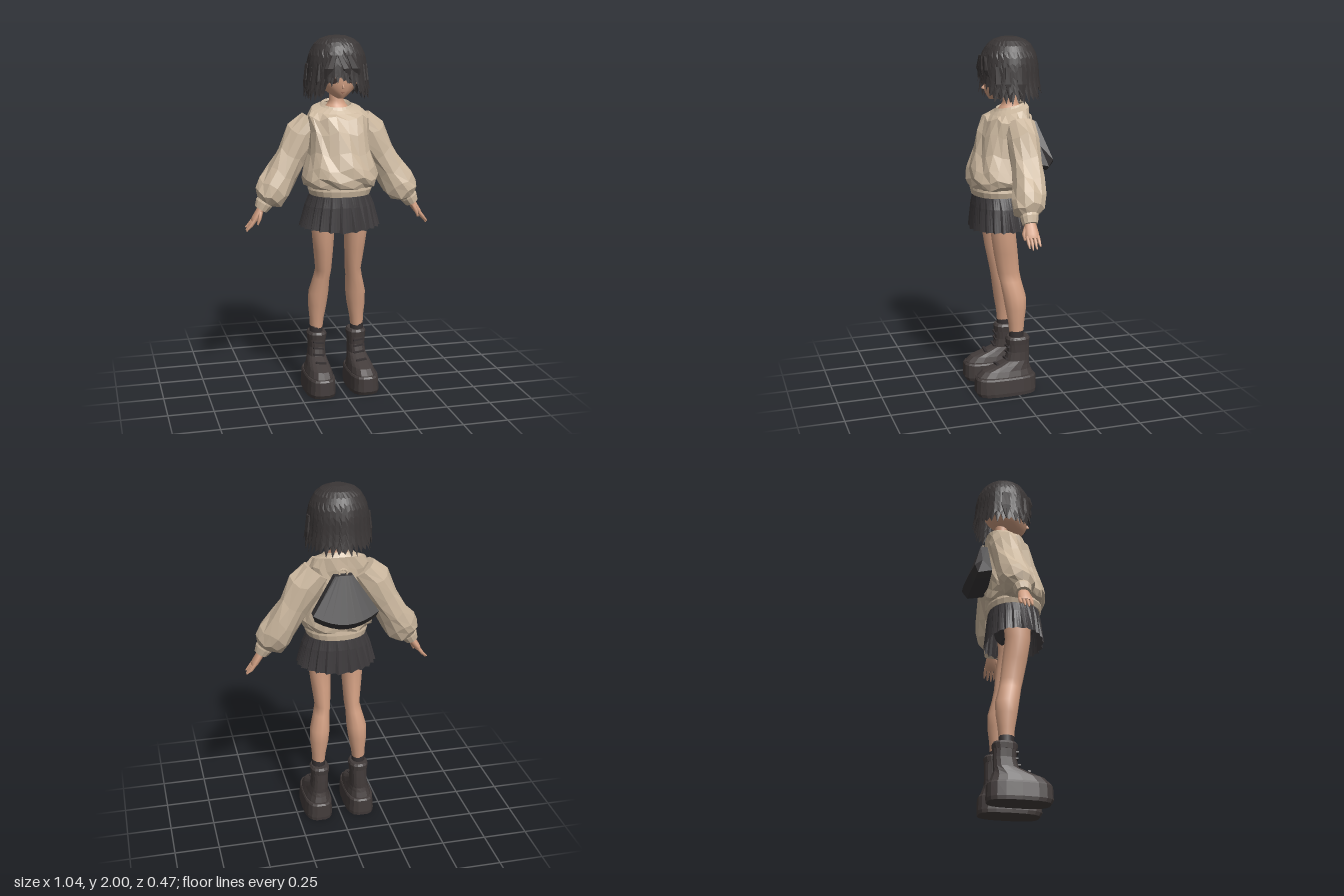
import * as THREE from 'three';

const mat = (name, color, flat = false, side = THREE.FrontSide) =>
  Object.assign(new THREE.MeshStandardMaterial({ color, flatShading: flat, side }), { name });

// Skins a list of closed point rings; each ring turns clockwise seen along the travel direction
function skin(name, rings, material, capStart = true, capEnd = true) {
  const n = rings[0].length, pos = [], idx = [];
  rings.forEach(r => r.forEach(p => pos.push(p.x, p.y, p.z)));
  for (let j = 0; j < rings.length - 1; j++) for (let i = 0; i < n; i++) {
    const a = j * n + i, b = j * n + (i + 1) % n;
    idx.push(a, b, a + n, b, b + n, a + n);
  }
  const cap = (j, flip) => {
    const c = rings[j].reduce((s, p) => s.add(p), new THREE.Vector3()).divideScalar(n);
    const start = pos.length / 3;
    rings[j].forEach(p => pos.push(p.x, p.y, p.z));
    pos.push(c.x, c.y, c.z);
    for (let i = 0; i < n; i++) {
      const a = start + i, b = start + (i + 1) % n;
      idx.push(start + n, flip ? b : a, flip ? a : b);
    }
  };
  if (capStart) cap(0, true);
  if (capEnd) cap(rings.length - 1, false);
  const g = new THREE.BufferGeometry();
  g.setAttribute('position', new THREE.Float32BufferAttribute(pos, 3));
  g.setIndex(idx);
  g.computeVertexNormals();
  const m = new THREE.Mesh(g, material);
  m.name = name;
  return m;
}

// Rows run top to bottom: [x, y, z, radiusX, radiusZ]
function loft(name, rows, material, { n = 12, s = 1, tilt = 0, pow = 2, warp, caps = [true, true] } = {}) {
  const sp = v => Math.sign(v) * Math.pow(Math.abs(v), 2 / pow);
  const rings = rows.map(([x, y, z, rx, rz], j) => Array.from({ length: n }, (_, i) => {
    const a = i / n * Math.PI * 2, k = rx * sp(Math.cos(a));
    const p = new THREE.Vector3(x * s + k * Math.cos(tilt * s), y + k * Math.sin(tilt * s), z + rz * sp(Math.sin(a)));
    if (warp) warp(p, i, j, new THREE.Vector3(x * s, y, z));
    return p;
  }));
  return skin(name, rings, material, ...caps);
}

// Linear lookup in rows sorted by falling first value
function lookup(rows, y) {
  let i = 0;
  while (i < rows.length - 2 && y < rows[i + 1][0]) i++;
  const t = THREE.MathUtils.clamp((rows[i][0] - y) / (rows[i][0] - rows[i + 1][0]), 0, 1);
  return rows[i].map((v, k) => v + (rows[i + 1][k] - v) * t);
}

export function createModel() {
  const root = new THREE.Group();
  root.name = 'girl';
  const skinTone = mat('skin', 0xd3a083), knit = mat('knit', 0xcdb9a0, true, THREE.DoubleSide);
  const hairMat = mat('hair', 0x3a3636, true, THREE.DoubleSide), cloth = mat('skirt cloth', 0x3d3a3c, true, THREE.DoubleSide);
  const leather = mat('boot leather', 0x433c3b, true), sockMat = mat('sock', 0x363132);
  const bagMat = mat('bag', 0x383637, true), eyeMat = mat('eye', 0x3b302e, false, THREE.DoubleSide);
  const lip = mat('lip', 0xa86c5a, false, THREE.DoubleSide);

  // Head: y, centre z, radius x, radius z
  const headRows = [[1.95, 0, .1, .1], [1.88, 0, .14, .14], [1.8, .005, .125, .138], [1.75, .02, .108, .123],
    [1.71, .035, .08, .1], [1.685, .055, .048, .068], [1.667, .085, .02, .025]];
  root.add(loft('head', headRows.map(([y, z, rx, rz]) => [0, y, z, rx, rz]), skinTone, { n: 20 }));
  root.add(loft('nose', [[0, 1.745, .14, .003, .004], [0, 1.726, .142, .008, .014], [0, 1.72, .138, .006, .006]], skinTone, { n: 6 }));
  root.add(loft('neck', [[0, 1.73, -.01, .042, .04], [0, 1.65, -.01, .04, .04], [0, 1.625, -.01, .055, .055], [0, 1.59, -.01, .085, .08]], skinTone, { n: 14 }));

  // Painted face details follow the curve of the head
  const facePatch = (name, a, halfWidth, y0, y1, material) => {
    const g = new THREE.PlaneGeometry(2, 1, 6, 3), p = g.attributes.position;
    for (let i = 0; i < p.count; i++) {
      const u = p.getX(i), y = (y0 + y1) / 2 + p.getY(i) * (y1 - y0) * (1 - .5 * u * u), ang = a + u * halfWidth;
      const [, z, rx, rz] = lookup(headRows, y);
      p.setXYZ(i, Math.sin(ang) * rx * 1.03, y, z + Math.cos(ang) * rz * 1.03);
    }
    g.computeVertexNormals();
    const m = new THREE.Mesh(g, material);
    m.name = name;
    root.add(m);
  };
  for (const s of [-1, 1]) {
    facePatch('eye', s * .5, .2, 1.748, 1.782, eyeMat);
    facePatch('eyebrow', s * .5, .24, 1.797, 1.805, hairMat);
  }
  facePatch('mouth', 0, .15, 1.697, 1.701, lip);

  // Hair: shells with pointed lower edges, shorter over the face
  const hairProfile = [[2, .045], [1.985, .09], [1.96, .122], [1.91, .152], [1.85, .165], [1.78, .17], [1.72, .178], [1.67, .188]];
  const hairShell = (name, scale, lift, phase) => {
    const n = 64, steps = 9, rings = [];
    for (let j = 0; j <= steps; j++) rings.push(Array.from({ length: n }, (_, i) => {
      const a = i / n * Math.PI * 2;
      const d = Math.atan2(Math.cos(a), Math.sin(a)), tip = (i + phase) % 2;
      const vary = .012 * Math.sin(i * 2.4);
      const low = Math.abs(d) < .62
        ? 1.815 - .085 * Math.abs(d + .12) - tip * .035 + vary
        : 1.715 - tip * .042 + vary + lift;
      const t = j / steps, y = 2 - (2 - low) * Math.pow(t, 1.25);
      const r = lookup(hairProfile, y)[1] * scale * (1 + .02 * Math.sin(a * 7 + 1) * t + .015 * tip * t * t);
      return new THREE.Vector3(Math.cos(a) * r, y - (1 - scale) * .2, Math.sin(a) * r * .98 - .004);
    }));
    root.add(skin(name, rings, hairMat, true, false));
  };
  hairShell('hair', 1, .02, 0);
  hairShell('hairUnderlayer', .92, .0, 1);
  // Swept fringe locks and the long locks beside the face
  for (const [x0, x1, y1, w] of [[-.02, .045, 1.765, .03], [.03, .095, 1.74, .032], [-.05, -.095, 1.735, .03]])
    root.add(loft('fringeLock', [[x0, 1.9, .137, w * .7, .014], [(x0 + x1) / 2, 1.83, .155 - x1 * x1, w, .012], [x1, y1, .157 - x1 * x1 * 4, .002, .002]], hairMat, { n: 6 }));
  for (const s of [-1, 1]) for (const [x, z, y] of [[.128, .085, 1.68], [.155, .04, 1.665], [.168, -.02, 1.67]])
    root.add(loft('sideLock', [[x - .01, 1.85, z, .015, .025], [x, 1.76, z, .016, .03], [x + .012, y, z, .003, .003]], hairMat, { n: 6, s }));

  // Sweater body with folds, collar and hem
  const tiltCollar = p => { p.y -= (p.z + .01) * .25; };
  root.add(loft('sweaterBody', [[0, 1.622, -.012, .088, .083], [0, 1.605, -.005, .14, .1], [0, 1.56, .012, .175, .118],
    [0, 1.48, .03, .168, .136], [0, 1.37, .045, .176, .15], [0, 1.29, .06, .198, .164], [0, 1.235, .065, .212, .168],
    [0, 1.2, .063, .2, .16], [0, 1.18, .06, .168, .15]], knit, { n: 22, pow: 2.3, caps: [false, false],
    warp: (p, i, j) => {
      if (j < 2) tiltCollar(p);
      else if (j < 8) { p.y += .015 * Math.sin(i * 1.9 + j); p.z += .006 * Math.sin(i * 2.3 + j * 2); }
    } }));
  root.add(loft('collar', [[0, 1.62, -.012, .076, .072], [0, 1.632, -.012, .082, .078], [0, 1.615, -.01, .098, .09]], knit,
    { n: 22, caps: [false, false], warp: tiltCollar }));
  root.add(loft('sweaterHem', [[0, 1.195, .06, .172, .152], [0, 1.17, .06, .178, .155], [0, 1.14, .058, .168, .15]], knit, { n: 22, pow: 2.2 }));

  // Pleated skirt
  root.add(loft('skirt', [[0, 1.16, .056, .158, .14], [0, 1.08, .056, .19, .15], [0, .96, .056, .22, .16]], cloth, {
    n: 88, pow: 2.2, caps: [true, false], warp: (p, i, j, c) => {
      const k = 1 + [0, .035, .07][j] * ((i % 4) / 3 - .5);
      p.x = c.x + (p.x - c.x) * k;
      p.z = c.z + (p.z - c.z) * k;
      if (j === 2) p.y += .09 * Math.abs(p.x) - .018 + (i % 4 === 3 ? -.006 : 0);
    } }));
  root.add(loft('hips', [[0, 1.12, .055, .14, .11], [0, 1.02, .055, .15, .105], [0, .97, .055, .1, .07]], cloth, { n: 14 }));

  for (const s of [-1, 1]) {
    // Sleeve, cuff and hand
    root.add(loft('sleeve', [[.12, 1.535, -.025, .085, .085], [.19, 1.455, -.025, .098, .088], [.255, 1.345, -.022, .084, .084],
      [.31, 1.25, -.015, .088, .09], [.355, 1.175, -.002, .098, .096], [.39, 1.125, .008, .085, .085], [.41, 1.1, .014, .05, .052]], knit,
      { n: 12, s, tilt: .58, warp: (p, i, j) => { if (j > 0 && j < 6) p.y += .013 * Math.sin(i * 2.1 + j * 1.7); } }));
    root.add(loft('cuff', [[.405, 1.115, .014, .047, .05], [.418, 1.092, .016, .05, .05], [.436, 1.06, .018, .038, .042]], knit, { n: 12, s, tilt: .55 }));
    root.add(loft('hand', [[.425, 1.08, .018, .022, .026], [.445, 1.045, .018, .021, .034], [.468, 1.01, .018, .019, .038], [.48, .993, .018, .012, .034]], skinTone, { n: 10, s, tilt: .55 }));
    [[-.012, .957], [.008, .944], [.028, .94], [.047, .95]].forEach(([z, y]) => root.add(loft('finger',
      [[.472, 1.005, z, .01, .009], [.495, .975, z, .01, .009], [.518, y, z, .004, .004]], skinTone, { n: 6, s, tilt: .55 })));
    root.add(loft('thumb', [[.438, 1.05, .042, .012, .012], [.45, 1.015, .058, .011, .011], [.461, .98, .056, .005, .005]], skinTone, { n: 6, s, tilt: .4 }));

    // Leg and sock
    root.add(loft('leg', [[.085, 1.06, .06, .07, .08], [.094, .94, .06, .066, .072], [.09, .82, .044, .056, .07], [.086, .7, .026, .045, .064],
      [.095, .65, .016, .047, .062], [.108, .56, -.003, .058, .066], [.113, .49, -.008, .054, .06], [.117, .41, -.01, .042, .047], [.12, .33, -.01, .035, .04]], skinTone, { n: 12, s }));
    root.add(loft('sock', [[.12, .362, -.01, .038, .042], [.12, .29, -.012, .04, .044]], sockMat, { n: 12, s }));

    // Boot upper, collar, laces and platform sole
    root.add(loft('bootUpper', [[.117, .32, -.018, .052, .064], [.117, .24, -.02, .048, .064], [.119, .19, -.014, .05, .07], [.121, .165, .016, .057, .1],
      [.122, .14, .05, .064, .142], [.124, .11, .06, .073, .164], [.125, .08, .06, .078, .17]], leather, { n: 16, s, pow: 2.5 }));
    root.add(loft('bootCollar', [[.116, .328, -.018, .048, .062], [.116, .315, -.018, .056, .07], [.116, .285, -.018, .053, .066]], leather, { n: 14, s, pow: 2.4 }));
    for (const [y, z] of [[.27, .043], [.235, .042], [.2, .054], [.17, .108]]) {
      const lace = new THREE.Mesh(new THREE.BoxGeometry(.06, .009, .016), sockMat);
      lace.name = 'lace';
      lace.position.set(.118 * s, y, z);
      lace.rotation.z = s * .12;
      root.add(lace);
    }
    root.add(loft('bootSole', [[.125, .105, .058, .076, .168], [.125, .095, .058, .081, .175], [.126, .02, .058, .086, .177], [.126, 0, .054, .084, .17]], leather, { n: 18, s, pow: 3 }));
  }

  // Fan-shaped back bag with a carry loop
  const bagRings = [];
  for (let k = 4; k >= -4; k--) {
    const u = k / 4, w = u * u;
    bagRings.push([[.05, 1.54, -.105], [.05, 1.54, -.145], [.18, 1.295 + .05 * w, -.235 + .035 * w], [.168, 1.255 + .05 * w, -.2 + .02 * w], [.17, 1.275 + .05 * w, -.1]]
      .map(([x, y, z]) => new THREE.Vector3(x * u, y, z)));
  }
  root.add(skin('backBag', bagRings, bagMat));
  const loop = new THREE.Mesh(new THREE.TorusGeometry(.022, .006, 6, 14), knit);
  loop.name = 'bagLoop';
  loop.position.set(0, 1.547, -.125);
  root.add(loop);
  return root;
}
